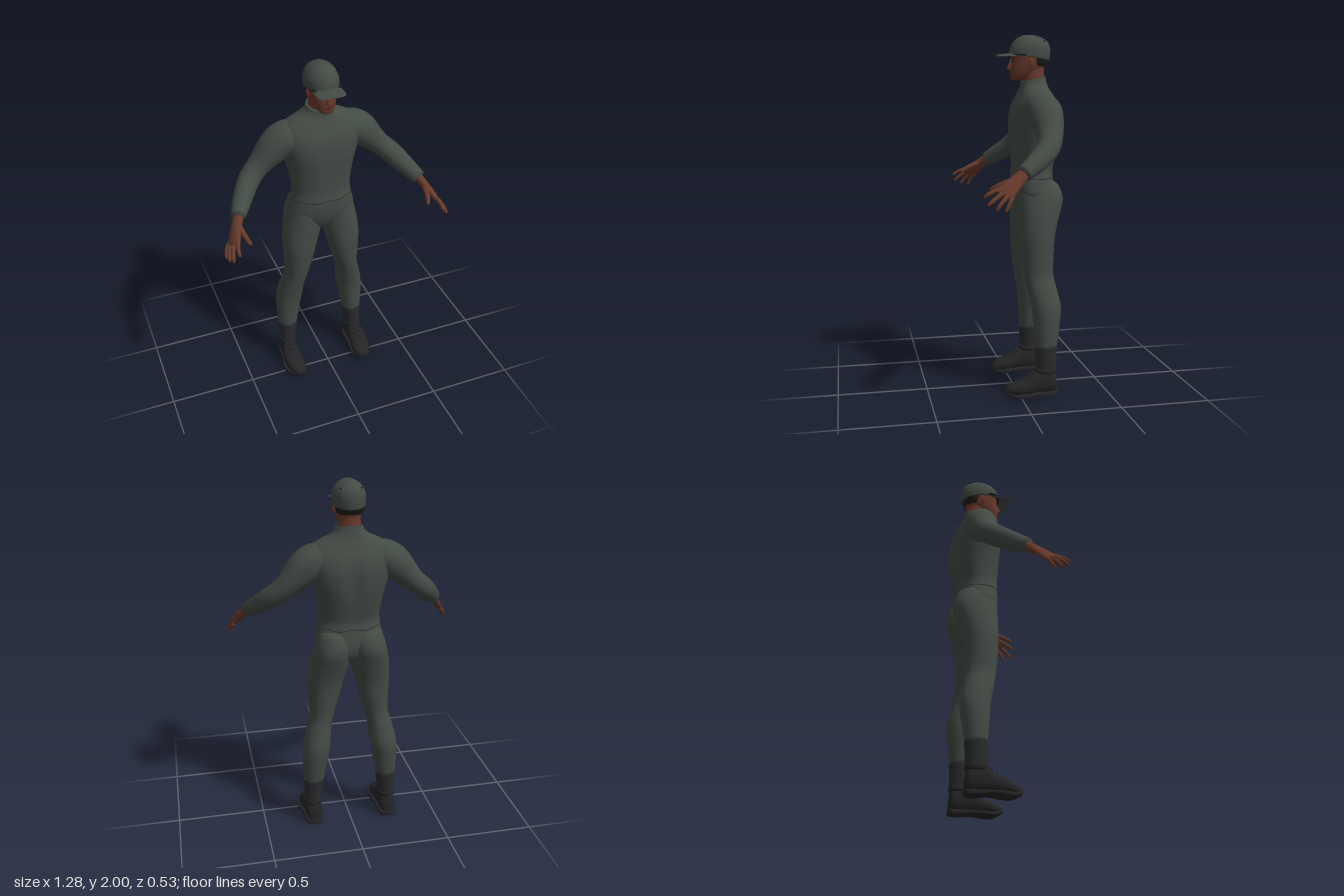
import * as THREE from 'three';

const mat = (name, color) => Object.assign(new THREE.MeshStandardMaterial({ color }), { name });

// Smooth interpolation between rows of numbers
function smoothRows(rows, sub) {
  const out = [];
  const at = i => rows[Math.max(0, Math.min(rows.length - 1, i))];
  for (let i = 0; i < rows.length - 1; i++) {
    for (let k = 0; k < sub; k++) {
      const t = k / sub;
      out.push(rows[i].map((_, c) => {
        const p0 = at(i - 1)[c], p1 = at(i)[c], p2 = at(i + 1)[c], p3 = at(i + 2)[c];
        return p1 + 0.5 * t * (p2 - p0 + t * (2 * p0 - 5 * p1 + 4 * p2 - p3 + t * (3 * (p1 - p2) + p3 - p0)));
      }));
    }
  }
  out.push(rows[rows.length - 1]);
  return out;
}

// Closed skin over rings; each row is centre, axis U, axis V, and runs along U x V
function loft(rows, { n = 28, sub = 4, power = 2, warp } = {}) {
  const rings = smoothRows(rows, sub), pos = [], idx = [];
  const bend = v => Math.sign(v) * Math.pow(Math.abs(v), 2 / power);
  for (const r of rings) {
    for (let j = 0; j < n; j++) {
      const a = j / n * Math.PI * 2, c = bend(Math.cos(a)), s = bend(Math.sin(a));
      const p = [0, 1, 2].map(k => r[k] + r[3 + k] * c + r[6 + k] * s);
      pos.push(...(warp ? warp(...p) : p));
    }
  }
  const last = (rings.length - 1) * n, c0 = rings.length * n;
  for (const r of [rings[0], rings[rings.length - 1]]) {
    const p = r.slice(0, 3);
    pos.push(...(warp ? warp(...p) : p));
  }
  for (let j = 0; j < n; j++) {
    const k = (j + 1) % n;
    for (let i = 0; i < last; i += n) idx.push(i + j, i + k, i + n + k, i + j, i + n + k, i + n + j);
    idx.push(c0, k, j, c0 + 1, last + j, last + k);
  }
  const g = new THREE.BufferGeometry();
  g.setAttribute('position', new THREE.Float32BufferAttribute(pos, 3));
  g.setIndex(idx);
  g.computeVertexNormals();
  return g;
}

// Rows from bottom to top: y, x from, x to, z front, z back
const upright = (rows, opt) => loft(rows.map(([y, x0, x1, zf, zb]) =>
  [(x0 + x1) / 2, y, (zf + zb) / 2, (x1 - x0) / 2, 0, 0, 0, 0, (zb - zf) / 2]), opt);
// Rows from bottom to top: y, half width, z front, z back
const centred = (rows, opt) => upright(rows.map(([y, w, f, b]) => [y, -w, w, f, b]), opt);
// Rows from back to front: z, centre x, half width, y bottom, y top
const forward = (rows, opt) => loft(rows.map(([z, x, w, y0, y1]) =>
  [x, (y0 + y1) / 2, z, w, 0, 0, 0, (y1 - y0) / 2, 0]), opt);
// Rows: x, y, z, radius along ref, radius across it
function limb(pts, ref, opt) {
  const P = pts.map(p => new THREE.Vector3(p[0], p[1], p[2]));
  return loft(pts.map((p, i) => {
    const T = P[Math.min(i + 1, P.length - 1)].clone().sub(P[Math.max(i - 1, 0)]).normalize();
    const U = new THREE.Vector3(...ref);
    U.addScaledVector(T, -U.dot(T)).normalize();
    const V = T.clone().cross(U);
    return [...P[i].toArray(), ...U.multiplyScalar(p[3]).toArray(), ...V.multiplyScalar(p[4]).toArray()];
  }), opt);
}
const ball = (x, y, z, a, b, c) => new THREE.SphereGeometry(1, 16, 12).scale(a, b, c).translate(x, y, z);

export function createModel() {
  const model = new THREE.Group();
  model.name = 'standingMan';
  const cloth = mat('uniformCloth', 0x434b45), skin = mat('skin', 0x65392a);
  const leather = mat('bootLeather', 0x242426), gaiter = mat('bootShaft', 0x2a2b2d);
  const hairMat = mat('hair', 0x1c1b1b), lipMat = mat('lips', 0x4a241d);

  const add = (name, geo, material) => {
    const m = new THREE.Mesh(geo, material);
    m.name = name;
    model.add(m);
  };
  // Adds the part on the left (+x) and its mirror on the right
  const pair = (name, geo, material) => {
    add('left' + name, geo, material);
    const g = geo.clone().scale(-1, 1, 1), ix = g.index.array;
    for (let i = 0; i < ix.length; i += 3) [ix[i], ix[i + 1]] = [ix[i + 1], ix[i]];
    add('right' + name, g, material);
  };

  // Jacket: groove down the spine and chest, wavy hem, collar lower in front
  const shapeJacket = (x, y, z) => {
    const band = Math.exp(-(((y - 1.5) / 0.13) ** 2)), mid = Math.exp(-((x / 0.04) ** 2));
    const hem = Math.max(0, 1 - (y - 1.208) / 0.04) * 0.005 * Math.cos(x * 45);
    const collar = Math.max(0, (y - 1.7) / 0.058) * 0.2 * (z + 0.118);
    return [x, y + hem - collar, z + (z < -0.12 ? 0.02 : -0.008) * band * mid];
  };
  add('jacket', centred([
    [1.208, 0.175, 0.008, -0.227], [1.25, 0.168, 0.002, -0.222], [1.3, 0.171, 0.002, -0.232],
    [1.4, 0.188, 0.01, -0.256], [1.48, 0.209, 0.017, -0.268], [1.55, 0.226, 0.014, -0.268],
    [1.61, 0.232, 0, -0.252], [1.655, 0.215, -0.022, -0.228], [1.688, 0.165, -0.037, -0.21],
    [1.712, 0.113, -0.045, -0.199], [1.735, 0.083, -0.048, -0.191], [1.758, 0.074, -0.05, -0.186],
  ], { n: 48, power: 2.25, warp: shapeJacket }), cloth);

  // Sleeves
  pair('Sleeve', limb([
    [0.06, 1.61, -0.125, 0.07, 0.055], [0.13, 1.603, -0.128, 0.088, 0.077], [0.19, 1.588, -0.131, 0.097, 0.091],
    [0.25, 1.545, -0.135, 0.092, 0.092], [0.35, 1.447, -0.13, 0.068, 0.063], [0.42, 1.385, -0.095, 0.06, 0.06],
    [0.48, 1.325, -0.02, 0.052, 0.052], [0.53, 1.275, 0.055, 0.041, 0.041],
  ], [0, 0, 1]), cloth);

  // Hands
  const across = [-0.045, 0.05, 0.05];
  pair('Palm', limb([
    [0.518, 1.287, 0.037, 0.032, 0.027], [0.55, 1.245, 0.09, 0.037, 0.023], [0.575, 1.207, 0.135, 0.046, 0.02],
    [0.59, 1.186, 0.16, 0.044, 0.015], [0.597, 1.179, 0.168, 0.032, 0.008],
  ], across, { n: 20 }), skin);
  const finger = (a, b, r) => {
    const p = t => a.map((v, i) => v + (b[i] - v) * t + (i < 2 ? 0.007 * Math.sin(t * Math.PI) : 0));
    return limb([[0, 1], [0.35, 1], [0.7, 0.9], [0.93, 0.7], [1, 0.2]]
      .map(([t, k]) => [...p(t), r * k, r * k]), across, { n: 12, sub: 3 });
  };
  [
    ['IndexFinger', [0.562, 1.213, 0.165], [0.585, 1.172, 0.264], 0.0115],
    ['MiddleFinger', [0.58, 1.195, 0.155], [0.616, 1.132, 0.25], 0.012],
    ['RingFinger', [0.595, 1.18, 0.142], [0.628, 1.11, 0.208], 0.0115],
    ['LittleFinger', [0.605, 1.17, 0.122], [0.634, 1.1, 0.163], 0.0105],
    ['Thumb', [0.538, 1.25, 0.095], [0.51, 1.198, 0.222], 0.0145],
  ].forEach(([name, a, b, r]) => pair(name, finger(a, b, r), skin));

  // Trousers
  add('trouserSeat', centred([
    [0.985, 0.02, -0.08, -0.15], [1.01, 0.07, -0.045, -0.19], [1.06, 0.16, -0.018, -0.225],
    [1.12, 0.192, -0.001, -0.234], [1.18, 0.18, 0.005, -0.228], [1.222, 0.169, 0.003, -0.22],
  ], { n: 40, power: 2.3 }), cloth);
  pair('TrouserLeg', upright([
    [0.27, 0.158, 0.269, -0.09, -0.207], [0.4, 0.135, 0.275, -0.08, -0.226], [0.5, 0.117, 0.27, -0.07, -0.235],
    [0.6, 0.108, 0.247, -0.05, -0.215], [0.68, 0.09, 0.225, -0.035, -0.2], [0.8, 0.055, 0.228, -0.02, -0.205],
    [0.9, 0.03, 0.231, -0.014, -0.215], [1, 0.003, 0.222, -0.013, -0.242], [1.08, 0, 0.206, -0.014, -0.265],
    [1.14, 0.004, 0.19, -0.02, -0.256], [1.19, 0.025, 0.165, -0.05, -0.226], [1.205, 0.06, 0.12, -0.08, -0.17],
  ], { n: 36, power: 2.1 }), cloth);

  // Boots
  pair('BootShaft', upright([
    [0.1, 0.178, 0.262, -0.095, -0.2], [0.15, 0.173, 0.266, -0.09, -0.205],
    [0.22, 0.162, 0.27, -0.088, -0.208], [0.288, 0.154, 0.273, -0.085, -0.211],
  ]), gaiter);
  pair('BootCuff', upright([
    [0.125, 0.178, 0.262, -0.09, -0.2], [0.132, 0.169, 0.27, -0.082, -0.209],
    [0.152, 0.168, 0.271, -0.082, -0.209], [0.158, 0.178, 0.262, -0.09, -0.2],
  ]), leather);
  pair('Shoe', forward([
    [-0.207, 0.219, 0.022, 0.02, 0.09], [-0.19, 0.219, 0.042, 0.015, 0.14], [-0.14, 0.22, 0.049, 0.01, 0.16],
    [-0.09, 0.222, 0.05, 0.01, 0.148], [-0.04, 0.224, 0.056, 0.01, 0.112], [0.02, 0.219, 0.056, 0.01, 0.085],
    [0.06, 0.213, 0.042, 0.012, 0.068], [0.082, 0.21, 0.026, 0.018, 0.054], [0.09, 0.209, 0.008, 0.03, 0.04],
  ], { power: 2.2 }), leather);
  const toeLift = (x, y, z) => [x, y + 0.02 * Math.max(0, (z - 0.02) / 0.07) ** 2, z];
  pair('Sole', forward([
    [-0.212, 0.219, 0.025, 0.002, 0.028], [-0.195, 0.219, 0.046, 0, 0.028], [-0.14, 0.22, 0.051, 0, 0.028],
    [-0.09, 0.222, 0.053, 0.008, 0.028], [-0.03, 0.224, 0.064, 0.004, 0.026], [0.02, 0.22, 0.062, 0, 0.024],
    [0.06, 0.214, 0.046, 0, 0.024], [0.084, 0.211, 0.028, 0.002, 0.024], [0.092, 0.209, 0.01, 0.006, 0.02],
  ], { power: 5, warp: toeLift }), leather);
  [0, 1, 2].forEach(i => pair('ShoeLace' + (i + 1),
    limb([-1, -0.5, 0, 0.5, 1].map(t => [0.223 + t * 0.032, 0.142 - i * 0.018 - t * t * 0.018, -0.072 + i * 0.026, 0.005, 0.005]),
      [0, 0, 1], { n: 8, sub: 2 }), leather));

  // Head and neck
  add('neck', centred([
    [1.7, 0.066, -0.058, -0.18], [1.76, 0.063, -0.055, -0.18], [1.8, 0.06, -0.05, -0.178], [1.86, 0.06, -0.05, -0.18],
  ]), skin);
  add('head', centred([
    [1.75, 0.022, -0.002, -0.045], [1.758, 0.04, 0.008, -0.07], [1.785, 0.057, 0.013, -0.13],
    [1.82, 0.069, 0.014, -0.178], [1.86, 0.076, 0.008, -0.198], [1.9, 0.079, 0.008, -0.204], [1.93, 0.06, -0.02, -0.18],
  ], { n: 32, power: 2.2 }), skin);
  add('nose', upright([
    [1.805, -0.008, 0.008, 0.015, -0.01], [1.813, -0.017, 0.017, 0.029, -0.01],
    [1.822, -0.014, 0.014, 0.031, -0.01], [1.85, -0.009, 0.009, 0.019, -0.01], [1.87, -0.008, 0.008, 0.012, -0.01],
  ], { n: 16 }), skin);
  add('upperLip', ball(0, 1.793, 0.011, 0.024, 0.004, 0.006), lipMat);
  add('lowerLip', ball(0, 1.785, 0.009, 0.02, 0.005, 0.007), lipMat);
  pair('Ear', ball(0.077, 1.845, -0.09, 0.008, 0.027, 0.016), skin);
  pair('Eye', ball(0.031, 1.855, 0.003, 0.013, 0.005, 0.004), hairMat);
  pair('Eyebrow', ball(0.031, 1.871, 0.003, 0.019, 0.004, 0.004), hairMat);
  add('hair', centred([
    [1.828, 0.062, -0.1, -0.18], [1.836, 0.07, -0.085, -0.19], [1.86, 0.077, -0.075, -0.201], [1.885, 0.077, -0.07, -0.203],
  ], { power: 2.1 }), hairMat);

  // Cap, its lower edge dropping toward the back
  const capDrop = (x, y, z) => [x, y + Math.max(0, 1.93 - y) / 0.055 * 0.18 * Math.min(0, z + 0.03), z];
  add('capCrown', centred([
    [1.885, 0.089, 0.018, -0.208], [1.905, 0.09, 0.018, -0.213], [1.93, 0.087, 0.012, -0.213],
    [1.96, 0.073, -0.004, -0.2], [1.983, 0.05, -0.03, -0.168], [1.996, 0.025, -0.06, -0.13], [2, 0.003, -0.092, -0.098],
  ], { n: 36, power: 2.1, warp: capDrop }), cloth);
  add('capVisor', forward([
    [-0.04, 0, 0.078, 1.889, 1.897], [0.02, 0, 0.079, 1.889, 1.898], [0.06, 0, 0.076, 1.886, 1.894],
    [0.08, 0, 0.064, 1.884, 1.891], [0.092, 0, 0.042, 1.883, 1.889], [0.097, 0, 0.01, 1.884, 1.887],
  ], { n: 40, power: 2.4, warp: (x, y, z) => [x, y - 2 * x * x, z] }), cloth);
  add('capBand', centred([
    [1.884, 0.089, 0.019, -0.1], [1.887, 0.0915, 0.0205, -0.1], [1.89, 0.0905, 0.02, -0.1],
  ], { n: 36, power: 2.1 }), hairMat);
  pair('CapVent', new THREE.BoxGeometry(0.024, 0.007, 0.008).rotateY(0.4).translate(0.048, 1.963, -0.163), hairMat);

  return model;
}
